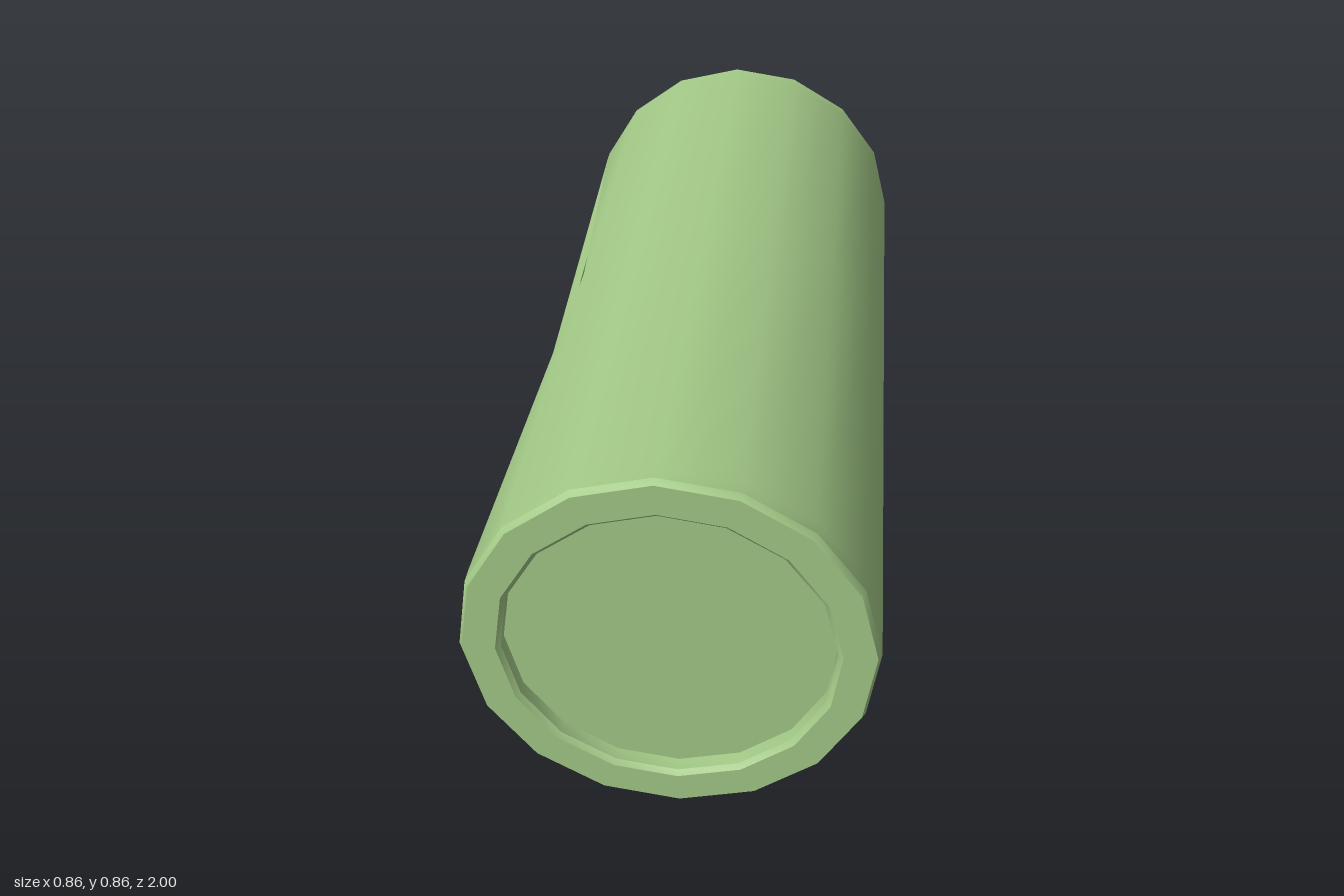
import * as THREE from 'three';
import { toCreasedNormals } from 'three/addons/utils/BufferGeometryUtils.js';

const SIDES = 16, TWIST = THREE.MathUtils.degToRad(2.7), STEP = Math.PI * 2 / SIDES;
const CENTRE = 0.43, HOLE = 7; // HOLE: the corner line that is torn open
const CREASE = 0.45;

// Point on corner line i of a tube of radius r
const corner = (r, i, z) => {
  const a = TWIST + i * STEP;
  return [r * Math.cos(a), r * Math.sin(a), z];
};

function fromTriangles(tris) {
  const g = new THREE.BufferGeometry();
  g.setAttribute('position', new THREE.Float32BufferAttribute(tris.flat(2), 3));
  return toCreasedNormals(g, CREASE);
}

// Tube wall with a diamond opening; inward flips the faces
function wall(r, end, tip, inward) {
  const tris = [], zs = [-end, -tip, 0, tip, end];
  const add = (a, b, c) => tris.push(inward ? [a, c, b] : [a, b, c]);
  for (let i = 0; i < SIDES; i++) {
    for (let k = 0; k < 4; k++) {
      const a0 = corner(r, i, zs[k]), a1 = corner(r, i, zs[k + 1]);
      const b0 = corner(r, (i + 1) % SIDES, zs[k]), b1 = corner(r, (i + 1) % SIDES, zs[k + 1]);
      const open = k === 1 || k === 2;
      if (open && i === HOLE - 1) {
        if (k === 1) add(a0, b0, a1); else add(a0, b1, a1);
      } else if (open && i === HOLE) {
        if (k === 1) add(a0, b0, b1); else add(b0, b1, a1);
      } else {
        add(a0, b0, b1);
        add(a0, b1, a1);
      }
    }
  }
  return fromTriangles(tris);
}

// Thickness of the shell around the opening
function rim(rOut, tipOut, rIn, tipIn) {
  const path = [[HOLE, -1], [HOLE + 1, 0], [HOLE, 1], [HOLE - 1, 0]];
  const tris = [];
  path.forEach(([i, s], n) => {
    const [j, t] = path[(n + 1) % 4];
    const op = corner(rOut, i, s * tipOut), oq = corner(rOut, j, t * tipOut);
    const ip = corner(rIn, i, s * tipIn), iq = corner(rIn, j, t * tipIn);
    tris.push([op, oq, iq], [op, iq, ip]);
  });
  return fromTriangles(tris);
}

// Turned end piece; profile is [radius, z] for the front end
function cap(profile, back, inward) {
  const pts = profile.map(([r, z]) => new THREE.Vector2(r, back ? -z : z));
  if (back !== inward) pts.reverse();
  const g = new THREE.LatheGeometry(pts, SIDES, TWIST, Math.PI * 2);
  g.rotateX(Math.PI / 2);
  g.deleteAttribute('uv');
  g.deleteAttribute('normal');
  return toCreasedNormals(g, CREASE);
}

export function createModel() {
  const group = new THREE.Group();
  group.name = 'hollowCylinder';
  const material = new THREE.MeshStandardMaterial({ color: 0xa3c987 });
  const add = (name, geometry) => {
    const mesh = new THREE.Mesh(geometry, material);
    mesh.name = name;
    mesh.position.y = CENTRE;
    group.add(mesh);
  };

  add('outerWall', wall(0.43, 0.985, 0.95, false));
  add('innerWall', wall(0.41, 0.93, 0.92, true));
  add('openingRim', rim(0.43, 0.95, 0.41, 0.92));

  // Chamfered ends with a shallow recess, and the matching inside faces
  const outer = [[0.43, 0.985], [0.422, 1], [0.353, 1], [0.343, 0.99], [0.343, 0.96], [0, 0.96]];
  const inner = [[0.41, 0.93], [0.4, 0.94], [0, 0.94]];
  for (const back of [false, true]) {
    const side = back ? 'back' : 'front';
    add(side + 'End', cap(outer, back, false));
    add(side + 'InnerEnd', cap(inner, back, true));
  }
  return group;
}
